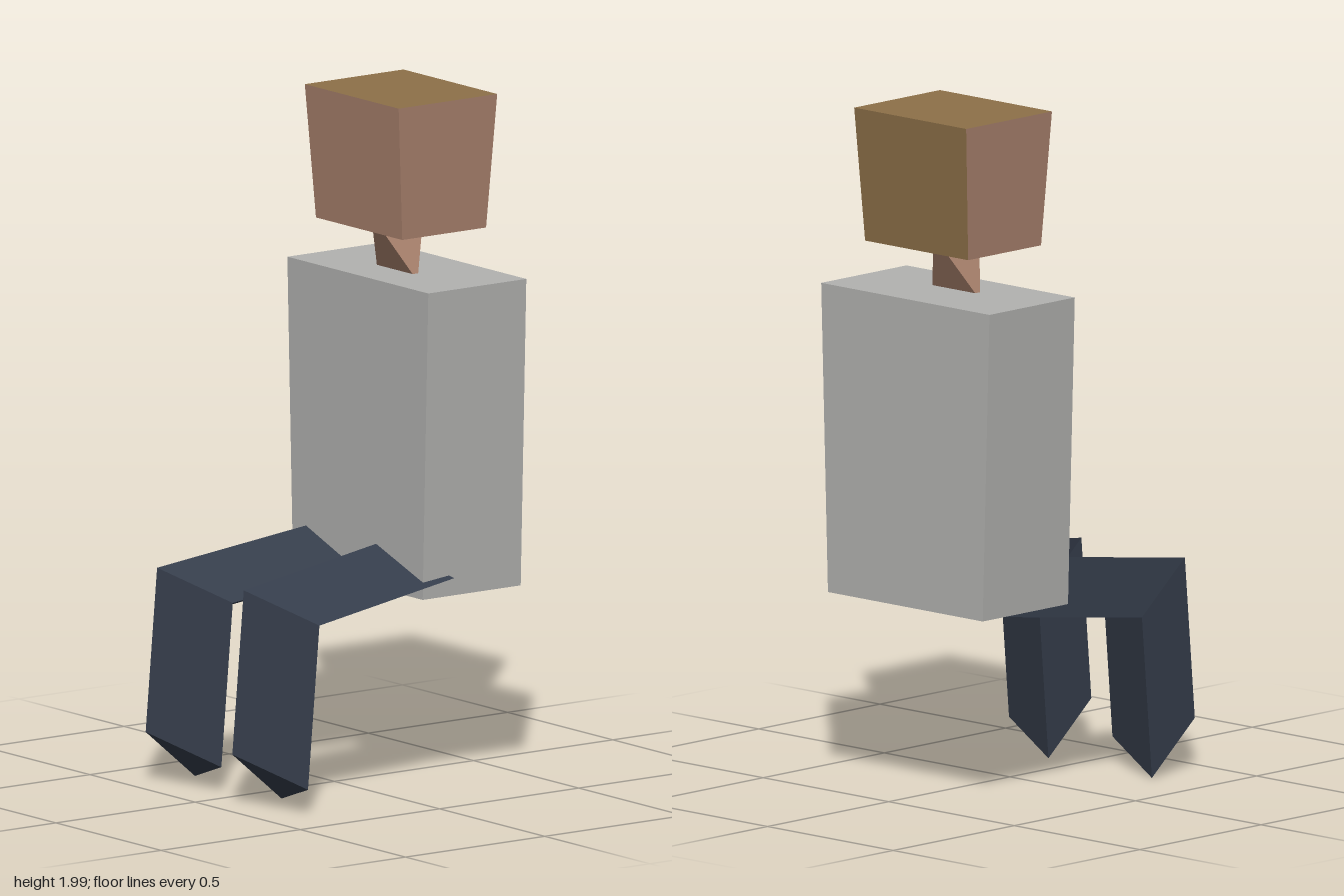
import * as THREE from 'three';

function material(name, color) {
  const m = new THREE.MeshStandardMaterial({ color });
  m.name = name;
  return m;
}

// Faceted geometry from corner points and triangles
function faceted(points, faces) {
  const g = new THREE.BufferGeometry();
  const coords = faces.flat().flatMap(i => points[i]);
  g.setAttribute('position', new THREE.Float32BufferAttribute(coords, 3));
  g.computeVertexNormals();
  return g;
}

// Box whose bottom is scaled in x and z; origin at its bottom centre
function taperedBox(w, h, d, sx, sz) {
  const g = new THREE.BoxGeometry(w, h, d).translate(0, h / 2, 0);
  const p = g.attributes.position;
  for (let i = 0; i < p.count; i++) {
    if (p.getY(i) < h / 2) {
      p.setX(i, p.getX(i) * sx);
      p.setZ(i, p.getZ(i) * sz);
    }
  }
  g.computeVertexNormals();
  return g;
}

// Three-sided bent leg: one triangular section carried from foot to knee to hip
function legGeometry(x, hipShift) {
  const section = [[0, 0.635, 0.407], [0.242, 0.56, 0.318], [0, 0.485, 0.23]];
  const offsets = [[0, -0.475, 0.041], [0, 0, 0], [hipShift, 0.07, -0.515]];
  const points = offsets.flatMap(o =>
    section.map(s => [s[0] + o[0] + x, s[1] + o[1], s[2] + o[2]]));
  const faces = [[2, 1, 0], [6, 7, 8]];
  for (let r = 0; r < 6; r += 3) {
    for (let i = 0; i < 3; i++) {
      const j = (i + 1) % 3;
      faces.push([r + i, r + j, r + 3 + j], [r + i, r + 3 + j, r + 3 + i]);
    }
  }
  return faceted(points, faces);
}

export function createModel() {
  const skin = material('skin', 0xa9826d);
  const hair = material('hair', 0x8d7048);
  const shirt = material('shirt', 0xb2b2b0);
  const trousers = material('trousers', 0x353d4b);

  const model = new THREE.Group();
  model.name = 'seatedFigure';
  const add = (name, geometry, mat, x = 0, y = 0, z = 0) => {
    const mesh = new THREE.Mesh(geometry, mat);
    mesh.name = name;
    mesh.position.set(x, y, z);
    model.add(mesh);
  };

  add('torso', taperedBox(0.67, 0.9, 0.352, 0.92, 1), shirt, -0.018, 0.575, -0.274);

  // Head with hair on its top and back faces
  add('head', taperedBox(0.446, 0.39, 0.354, 0.92, 0.85),
    [skin, skin, hair, skin, skin, hair], -0.018, 1.61, -0.253);

  // Neck: tetrahedron with crossed edges sunk into torso and head
  const e = 0.095;
  add('neck', faceted(
    [[-e, -0.095, 0], [e, -0.095, 0], [0, 0.095, e], [0, 0.095, -e]],
    [[0, 1, 2], [1, 0, 3], [1, 3, 2], [0, 2, 3]]), skin, -0.02, 1.55, -0.242);

  add('rightLeg', legGeometry(-0.304, 0.04), trousers);
  add('leftLeg', legGeometry(0.108, -0.04), trousers);
  return model;
}
